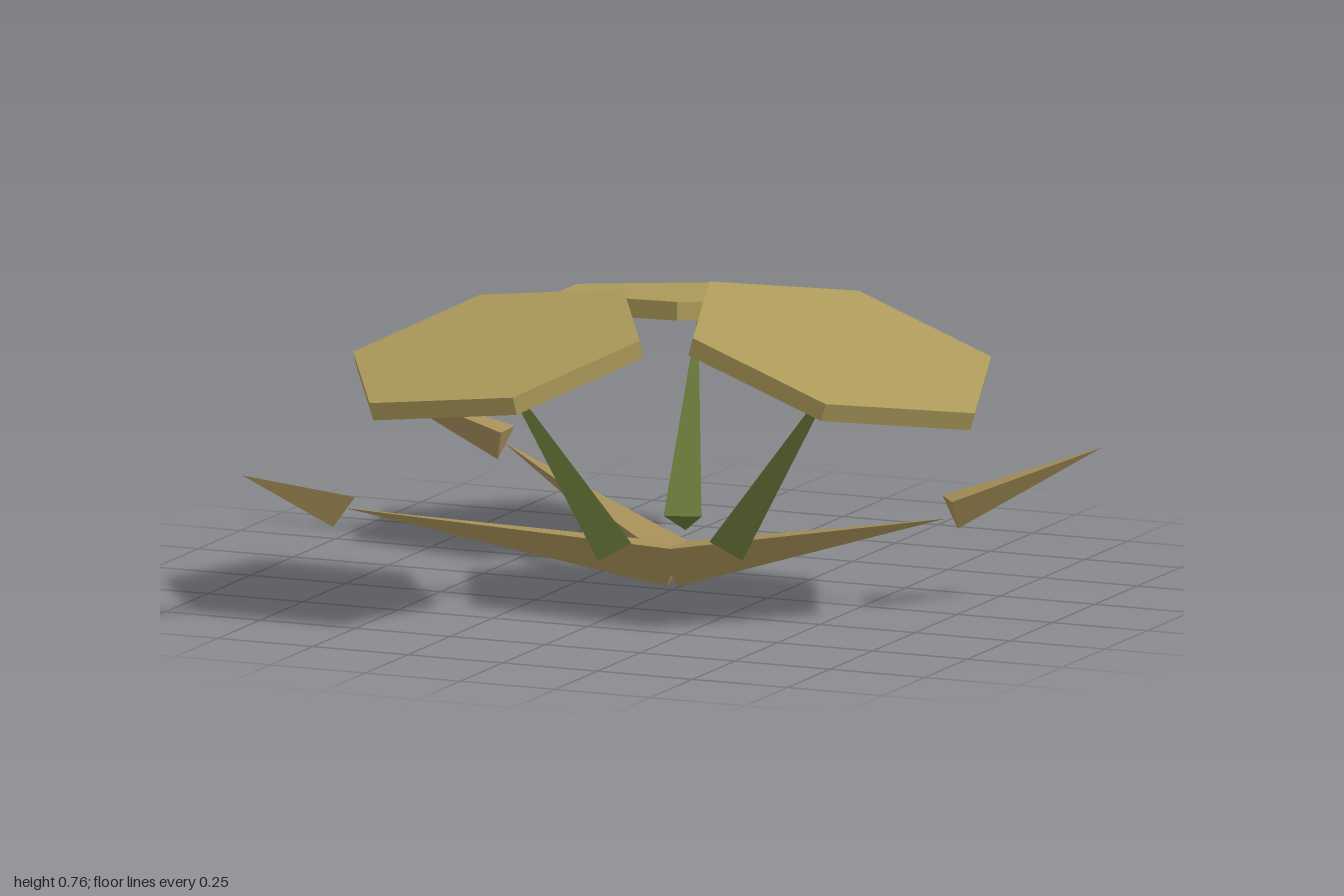
import * as THREE from 'three';

const V = (a) => new THREE.Vector3(...a);

// Place a geometry with its y axis along `axis` and its first corner towards `corner`
function orient(geometry, axis, corner, centre) {
  const y = axis.clone().normalize();
  const x = new THREE.Vector3().crossVectors(y, corner).normalize();
  const z = new THREE.Vector3().crossVectors(x, y);
  return geometry.applyMatrix4(new THREE.Matrix4().makeBasis(x, y, z).setPosition(centre));
}

// Three-sided spike from base to tip, with one ridge on its underside
function spike(name, base, tip, radius, material) {
  const a = V(base), b = V(tip), axis = b.clone().sub(a);
  const geometry = new THREE.ConeGeometry(radius, axis.length(), 3);
  const mesh = new THREE.Mesh(
    orient(geometry, axis, new THREE.Vector3(0, -1, 0), a.add(b).multiplyScalar(0.5)), material);
  mesh.name = name;
  return mesh;
}

// Tilted hexagonal cap; centre is the middle of its top face
function cap(name, centre, slope, corner, radius, material) {
  const normal = new THREE.Vector3(-slope[0], 1, -slope[1]);
  const geometry = new THREE.CylinderGeometry(radius, radius, 0.045, 6).translate(0, -0.0225, 0);
  const mesh = new THREE.Mesh(
    orient(geometry, normal, new THREE.Vector3(corner[0], 0, corner[1]), V(centre)), material);
  mesh.name = name;
  return mesh;
}

export function createModel() {
  const paint = (name, color) =>
    new THREE.MeshStandardMaterial({ name, color, flatShading: true });
  const khaki = paint('khaki cap', 0xac9a5a);
  const bark = paint('brown bark', 0xa48e58);
  const green = paint('olive stem', 0x6b7a3a);

  const model = new THREE.Group();
  model.name = 'plant';

  // Caps, each on its own stem
  const caps = [
    { id: 'Left', top: [0.475, 0.645, 0.065], slope: [-0.3, -0.06], corner: [0.38, 0.07], r: 0.405, foot: [0.145, 0.12, 0] },
    { id: 'Back', top: [-0.17, 0.622, -0.53], slope: [0.038, 0.123], corner: [0.36, 0.09], r: 0.372, foot: [-0.07, 0.125, -0.22] },
    { id: 'Front', top: [-0.285, 0.647, 0.4], slope: [0.127, -0.23], corner: [1, 0], r: 0.385, foot: [-0.1, 0.12, 0.125] },
  ];
  for (const c of caps) {
    model.add(cap('cap' + c.id, c.top, c.slope, c.corner, c.r, khaki));
    const tip = [c.top[0], c.top[1] - 0.045, c.top[2]];
    model.add(spike('stem' + c.id, c.foot, tip, 0.053, green));
  }

  // Root branches fanning out from the middle, each with a thorn past its end
  const root = [-0.02, 0.067, -0.04];
  const arms = [
    { id: 'Left', end: [0.69, 0.22, -0.06], base: [0.705, 0.246, -0.06], tip: [1, 0.378, -0.292] },
    { id: 'BackRight', end: [-0.63, 0.24, -0.41], base: [-0.627, 0.246, -0.41], tip: [-1, 0.378, -0.39] },
    { id: 'FrontRight', end: [-0.64, 0.24, 0.5], base: [-0.655, 0.246, 0.508], tip: [-0.745, 0.378, 0.87] },
  ];
  for (const a of arms) {
    model.add(spike('branch' + a.id, root, a.end, 0.067, bark));
    model.add(spike('thorn' + a.id, a.base, a.tip, 0.053, bark));
  }
  return model;
}
